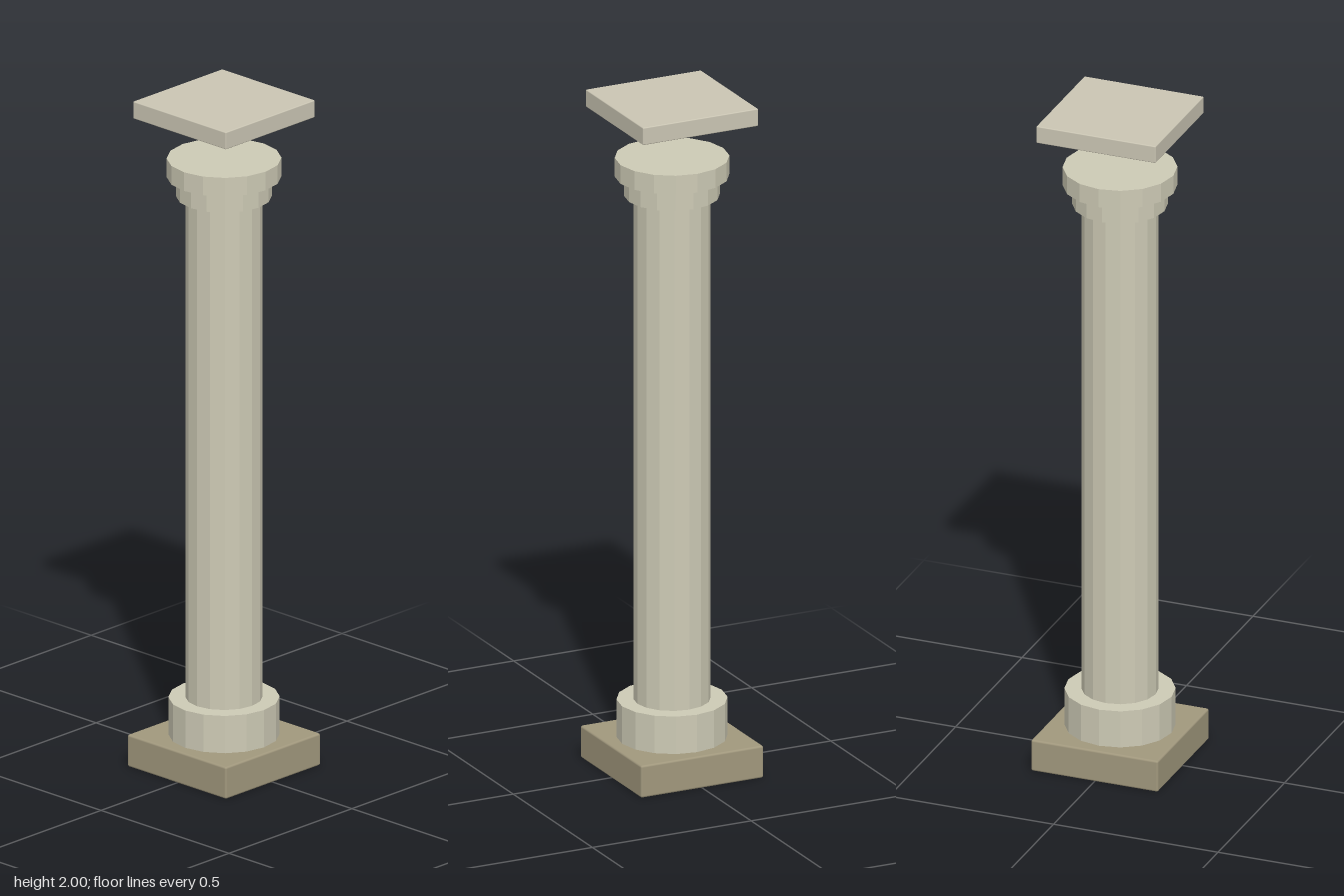
import * as THREE from 'three';
import { RoundedBoxGeometry } from 'three/addons/geometries/RoundedBoxGeometry.js';

export function createModel() {
  const model = new THREE.Group();
  model.name = 'column';

  const stone = new THREE.MeshStandardMaterial({ color: 0xcdcab5 });
  stone.name = 'pale stone';
  const slabStone = new THREE.MeshStandardMaterial({ color: 0xcac5b3 });
  slabStone.name = 'warm stone';
  const darkStone = new THREE.MeshStandardMaterial({ color: 0xa1987d });
  darkStone.name = 'dark stone';

  const add = (name, geometry, material, bottom, top) => {
    const mesh = new THREE.Mesh(geometry, material);
    mesh.name = name;
    mesh.position.y = (bottom + top) / 2;
    model.add(mesh);
  };

  // Square slabs with slightly eased edges
  const slab = (name, width, bottom, top, bevel, material) =>
    add(name, new RoundedBoxGeometry(width, top - bottom, width, 2, bevel), material, bottom, top);

  // Sixteen-sided drums with flat facets
  const drum = (name, radius, bottom, top) => {
    const geometry = new THREE.CylinderGeometry(radius, radius, top - bottom, 16).toNonIndexed();
    geometry.computeVertexNormals();
    add(name, geometry, stone, bottom, top);
  };

  slab('plinth', 0.386, 0, 0.096, 0.006, darkStone);
  drum('baseDrum', 0.157, 0.096, 0.208);
  drum('shaft', 0.109, 0.208, 1.713);
  drum('neckRing', 0.135, 1.713, 1.772);
  drum('capitalRing', 0.162, 1.772, 1.828);
  // The top slab floats clear of the capital
  slab('topSlab', 0.363, 1.948, 2, 0.003, slabStone);

  return model;
}
